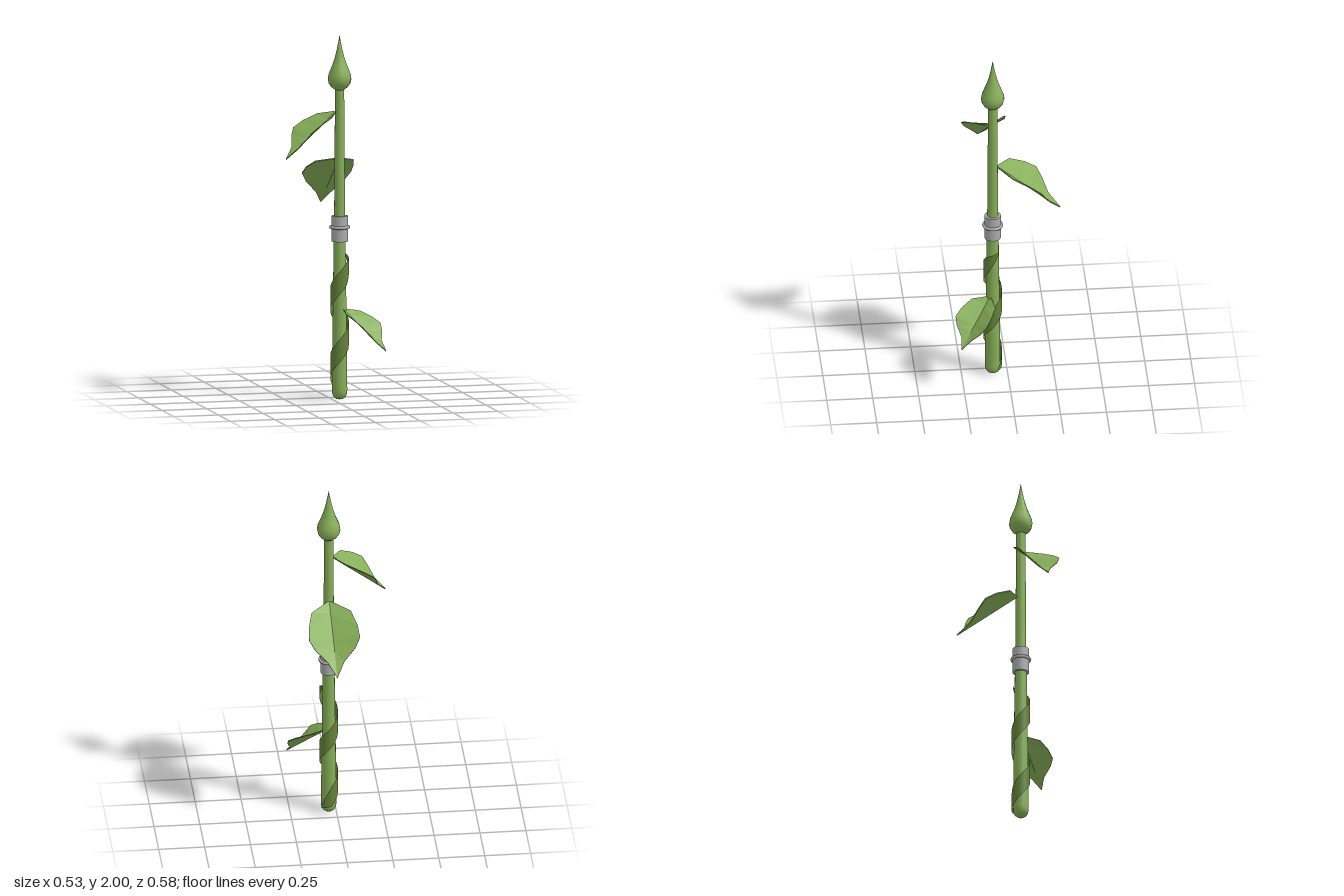
import * as THREE from 'three';

const green = new THREE.MeshStandardMaterial({ color: 0x86ae58 });
green.name = 'leafGreen';
const vineGreen = new THREE.MeshStandardMaterial({ color: 0x64813a, side: THREE.DoubleSide });
vineGreen.name = 'vineGreen';
const metal = new THREE.MeshStandardMaterial({ color: 0xacacac });
metal.name = 'metalGrey';

const part = (name, geometry, material, y = 0) => {
  const mesh = new THREE.Mesh(geometry, material);
  mesh.name = name;
  mesh.position.y = y;
  return mesh;
};

const lathe = (profile, segments) =>
  new THREE.LatheGeometry(profile.map(([r, y]) => new THREE.Vector2(r, y)), segments);

// Leaf rows from base to tip: distance along the midrib, half width, lift of the edge
const LEAF = [
  [0, 0.01, 0.005], [0.071, 0.107, 0.034], [0.166, 0.133, 0.057], [0.242, 0.139, 0.065],
  [0.293, 0.11, 0.045], [0.357, 0.045, 0.013], [0.445, 0, 0],
];

// Thin leaf folded along its midrib, with flat facets
function leafGeometry() {
  const t = 0.006, pos = [];
  const quad = (a, b, c, d, flip) => {
    const q = flip ? [a, d, c, b] : [a, b, c, d];
    for (const i of [0, 1, 2, 0, 2, 3]) pos.push(...q[i]);
  };
  const down = ([x, y, z]) => [x, y - t, z];
  for (const side of [1, -1]) {
    const flip = side < 0;
    for (let i = 0; i < LEAF.length - 1; i++) {
      const [s0, w0, h0] = LEAF[i], [s1, w1, h1] = LEAF[i + 1];
      const m0 = [0, 0, s0], m1 = [0, 0, s1];
      const e0 = [side * w0, h0, s0], e1 = [side * w1, h1, s1];
      quad(m0, m1, e1, e0, flip);
      quad(down(m0), down(m1), down(e1), down(e0), !flip);
      quad(e0, e1, down(e1), down(e0), flip);
    }
  }
  const g = new THREE.BufferGeometry();
  g.setAttribute('position', new THREE.Float32BufferAttribute(pos, 3));
  g.computeVertexNormals();
  return g;
}

// Flat ribbon winding up the handle, narrowing at both ends
function vineGeometry() {
  const n = 72, t0 = 0.68 * Math.PI, t1 = 4.72 * Math.PI, pos = [], idx = [];
  for (let i = 0; i <= n; i++) {
    const u = i / n, t = t0 + (t1 - t0) * u;
    const y = 0.29 + 0.37 * (t / (2 * Math.PI) - 1);
    const half = 0.063 * Math.min(1, 0.12 + 9 * u, 0.12 + 7 * (1 - u));
    for (const s of [-1, 1]) {
      pos.push(0.05 * Math.sin(t), Math.max(0.025, y + s * half), 0.05 * Math.cos(t));
    }
    if (i < n) {
      const a = 2 * i;
      idx.push(a, a + 2, a + 3, a, a + 3, a + 1);
    }
  }
  const g = new THREE.BufferGeometry();
  g.setAttribute('position', new THREE.Float32BufferAttribute(pos, 3));
  g.setIndex(idx);
  g.computeVertexNormals();
  return g;
}

export function createModel() {
  const model = new THREE.Group();
  model.name = 'budStaff';
  const staff = new THREE.Group();
  staff.name = 'staff';
  staff.position.set(0.04, 0, 0.08);
  model.add(staff);

  // Handle with rounded foot, and the slimmer stem above the collar
  staff.add(part('handle', lathe([
    [0, 0.005], [0.018, 0.008], [0.033, 0.019], [0.041, 0.038], [0.042, 0.06],
    [0.04, 0.3], [0.036, 0.6], [0.032, 0.9],
  ], 16), green));
  staff.add(part('stem', new THREE.CylinderGeometry(0.025, 0.03, 0.75, 16), green, 1.345));

  // Bud with a drawn-out point
  staff.add(part('bud', lathe([
    [0, 1.694], [0.025, 1.699], [0.046, 1.715], [0.059, 1.735], [0.064, 1.758], [0.06, 1.785],
    [0.048, 1.815], [0.036, 1.845], [0.025, 1.88], [0.015, 1.92], [0.006, 1.965], [0, 2],
  ], 14), green));

  // Metal collar and its ring
  staff.add(part('collar', new THREE.CylinderGeometry(0.045, 0.045, 0.14, 20), metal, 0.94));
  const ring = part('collarRing', new THREE.TorusGeometry(0.048, 0.009, 8, 24), metal, 0.948);
  ring.rotation.x = Math.PI / 2;
  staff.add(ring);

  staff.add(part('vine', vineGeometry(), vineGreen));

  // Leaves: name, height, heading (x, z) and size
  const leaf = leafGeometry();
  for (const [name, y, dx, dz, size] of [
    ['upperLeaf', 1.58, -0.3, 0.053, 0.86],
    ['middleLeaf', 1.32, -0.01, -0.37, 1],
    ['lowerLeaf', 0.5, 0.21, 0.187, 0.75],
  ]) {
    const mesh = part(name, leaf, green);
    const heading = Math.atan2(dx, dz);
    mesh.position.set(0.025 * Math.sin(heading), y, 0.025 * Math.cos(heading));
    mesh.rotation.set(0.685, heading, 0, 'YXZ');
    mesh.scale.setScalar(size);
    staff.add(mesh);
  }
  return model;
}
